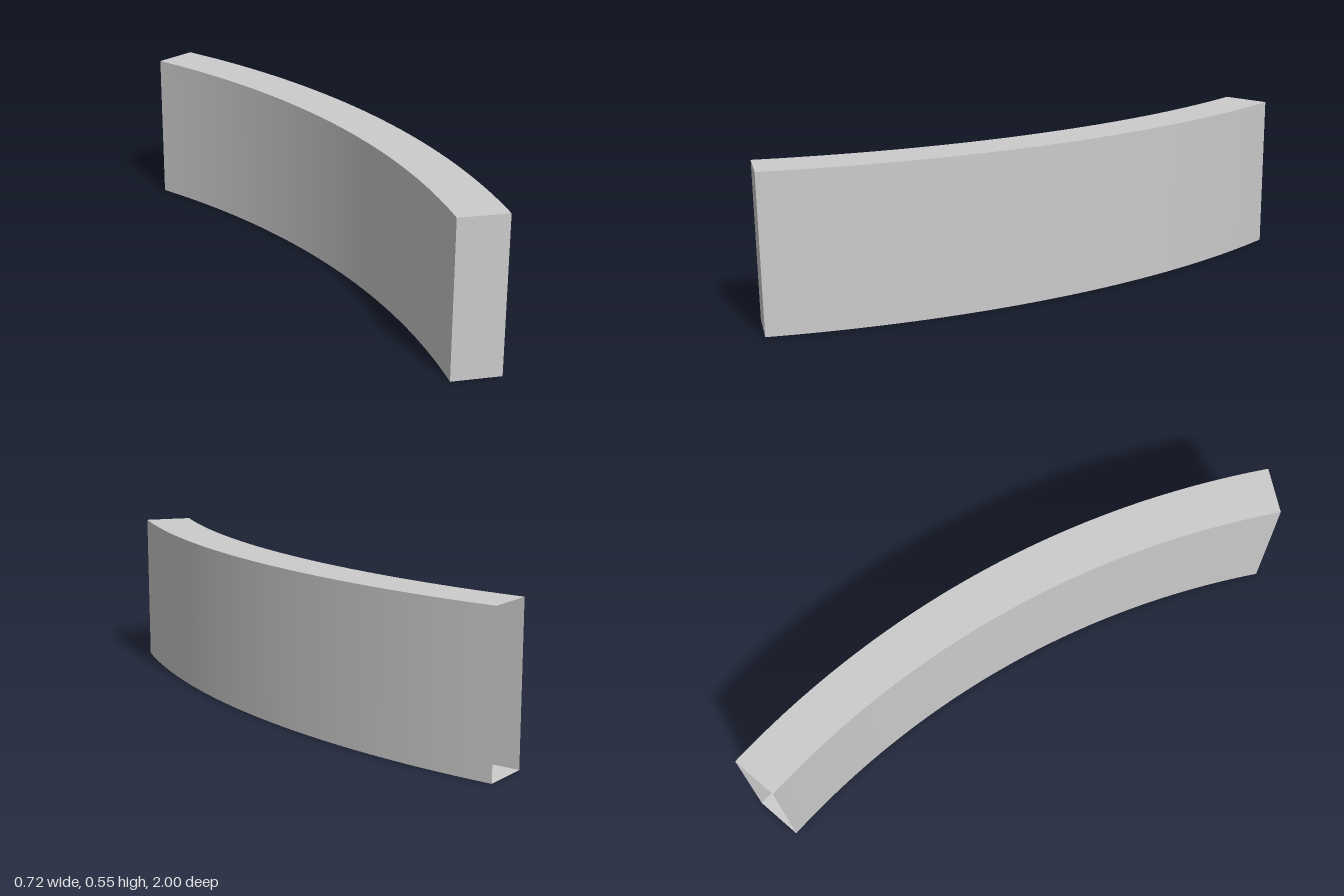
import * as THREE from 'three';
import { ParametricGeometry } from 'three/addons/geometries/ParametricGeometry.js';

const H = 0.545, R_OUT = 3.23, R_IN = 3.06;   // height and the two wall radii
const CX = -2.87, CZ = -0.853;                // centre of the bend
const BACK = -0.0463, FRONT = 0.6109;         // end angles
const SLANT = 0.003;                          // the front end leans in slightly at the foot
const RECESS = 0.039;                         // depth of the open socket at the back

export function createModel() {
  const group = new THREE.Group();
  const material = new THREE.MeshStandardMaterial({ color: 0xcccccc, side: THREE.DoubleSide });

  // Point in the bent beam: r = radius, t = 0 back .. 1 front, h = 0 foot .. 1 top
  const place = (r, t, h, target) => {
    const a = BACK + t * (FRONT - BACK - SLANT * (1 - h));
    target.set(CX + r * Math.cos(a), h * H, CZ + r * Math.sin(a));
  };
  const add = (name, f, nu, nv) => {
    const mesh = new THREE.Mesh(new ParametricGeometry(f, nu, nv), material);
    mesh.name = name;
    group.add(mesh);
  };
  const radius = (k) => R_IN + k * (R_OUT - R_IN);

  // Long curved walls, top and bottom
  add('outerWall', (u, v, p) => place(R_OUT, 1 - u, v, p), 48, 1);
  add('innerWall', (u, v, p) => place(R_IN, u, v, p), 48, 1);
  add('topFace', (u, v, p) => place(radius(v), u, 1, p), 48, 1);
  add('bottomFace', (u, v, p) => place(radius(v), 1 - u, 0, p), 48, 1);

  // Closed front end, and the panel set back inside the open rear end
  add('frontCap', (u, v, p) => place(radius(u), 1, v, p), 1, 1);
  const t = RECESS / (FRONT - BACK);
  add('recessedBackPanel', (u, v, p) => place(radius(1 - u), t, v, p), 1, 1);

  return group;
}
